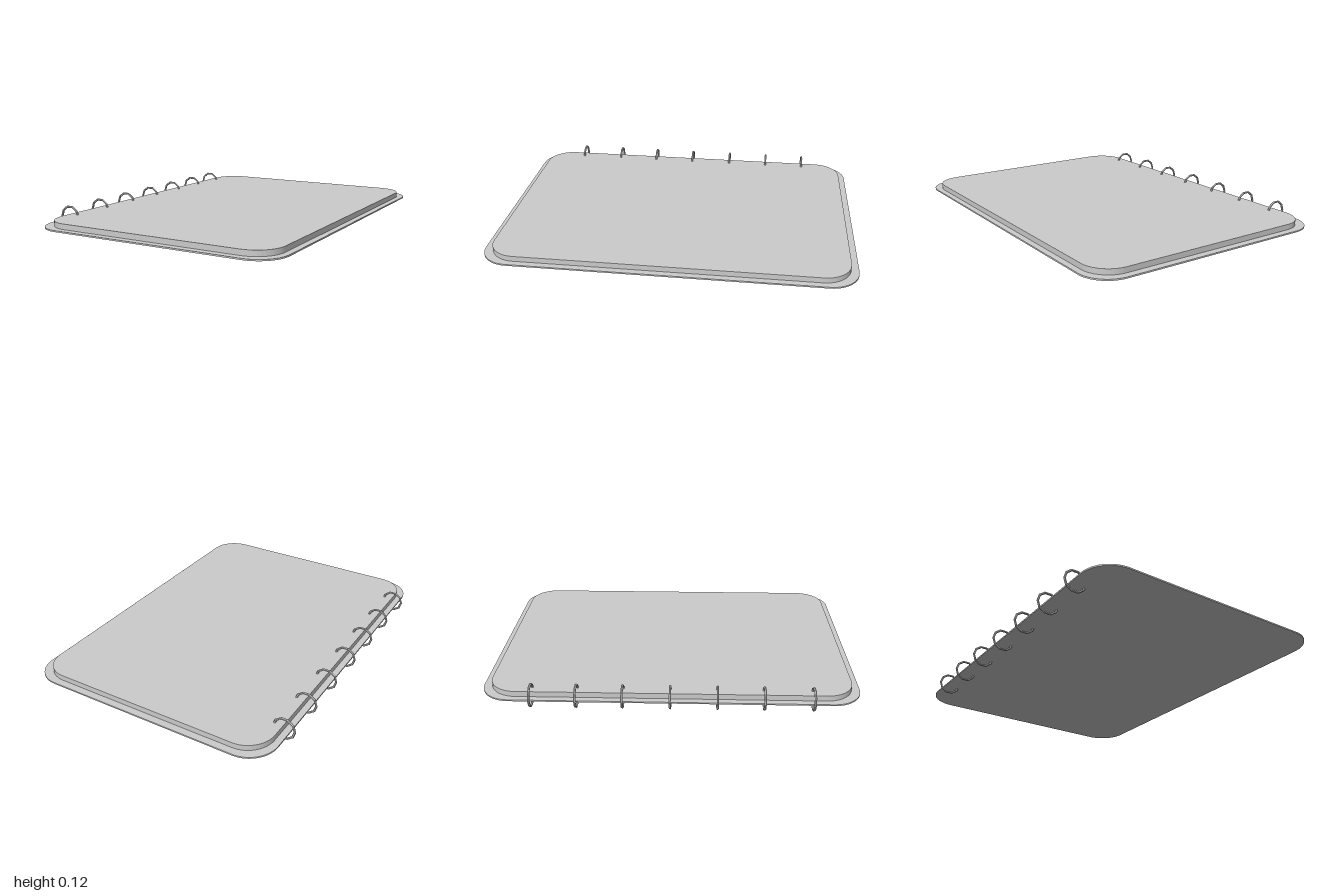
import * as THREE from 'three';

const material = new THREE.MeshStandardMaterial({ color: 0xcccccc, flatShading: true });

// Flat slab with rounded corners, lying in the xz plane
function slab(name, x0, x1, halfZ, y0, y1, r) {
  const s = new THREE.Shape();
  s.absarc(x1 - r, halfZ - r, r, 0, Math.PI / 2);
  s.absarc(x0 + r, halfZ - r, r, Math.PI / 2, Math.PI);
  s.absarc(x0 + r, r - halfZ, r, Math.PI, Math.PI * 1.5);
  s.absarc(x1 - r, r - halfZ, r, Math.PI * 1.5, Math.PI * 2);
  s.closePath();
  const geo = new THREE.ExtrudeGeometry(s, { depth: y1 - y0, bevelEnabled: false, curveSegments: 6 });
  geo.rotateX(-Math.PI / 2).translate(0, y0, 0);
  const mesh = new THREE.Mesh(geo, material);
  mesh.name = name;
  return mesh;
}

export function createModel() {
  const group = new THREE.Group();
  group.name = 'notebook';

  // Back cover and the stack of pages on it
  group.add(slab('cover', -0.7, 0.73, 1, 0.042, 0.05, 0.16));
  group.add(slab('pages', -0.665, 0.695, 0.96, 0.05, 0.08, 0.15));

  // Binding rings along the left edge of the page
  const rings = new THREE.Group();
  rings.name = 'bindingRings';
  const tube = 0.0065;
  const ringGeo = new THREE.TorusGeometry(0.065 - tube, tube, 6, 10);
  for (const z of [-0.725, -0.488, -0.247, 0, 0.245, 0.487, 0.74]) {
    const ring = new THREE.Mesh(ringGeo, material);
    ring.name = 'bindingRing';
    ring.position.set(-0.67, 0.063, z);
    rings.add(ring);
  }
  group.add(rings);
  return group;
}
